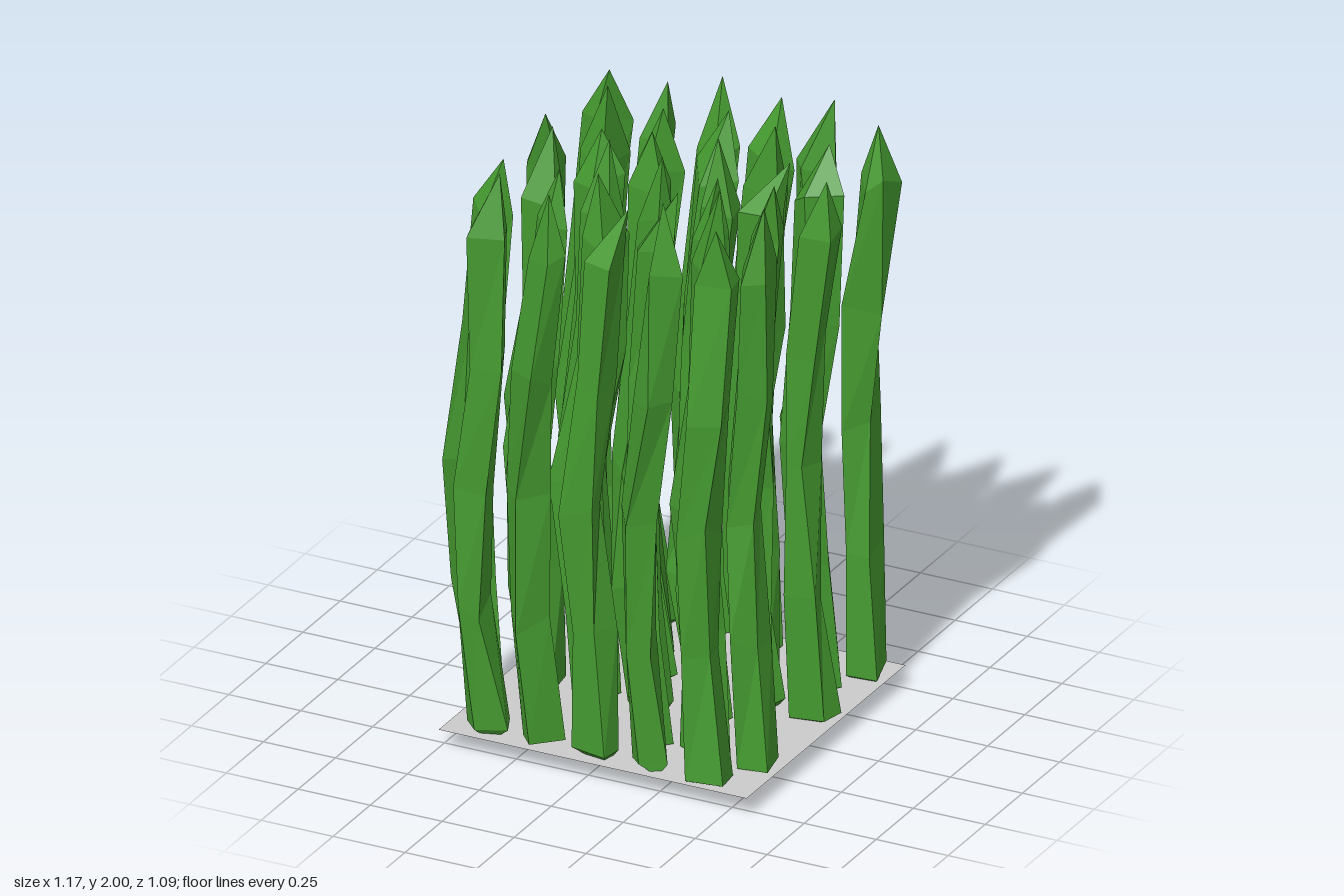
import * as THREE from 'three';

// Small seeded generator, values between -1 and 1
function makeJitter(seed) {
  let s = seed;
  return () => {
    s = (s * 16807) % 2147483647;
    return (s / 2147483647) * 2 - 1;
  };
}

const SIDES = 4;
// Shared bend of all blades: height and sideways shift of each ring
const LEVELS = [
  { y: 0.08, shift: 0.01 },
  { y: 0.48, shift: -0.03 },
  { y: 0.91, shift: -0.04 },
  { y: 1.33, shift: 0.0 },
  { y: 1.75, shift: 0.03 },
];

// One crooked blade: irregular rings, a pointed tip and a blunt root
function bladeGeometry(x, z, jitter) {
  const pos = [];
  const index = [];
  const turn = jitter() * Math.PI;
  LEVELS.forEach(({ y, shift }, level) => {
    const sway = level === 0 ? 0.3 : 1;
    const cx = x + shift + jitter() * 0.018 * sway;
    const cz = z + jitter() * 0.018 * sway;
    for (let i = 0; i < SIDES; i++) {
      const a = turn + ((i + jitter() * 0.25) / SIDES) * Math.PI * 2;
      const r = 1 + jitter() * 0.25;
      const lift = jitter() * (level === 0 ? 0.012 : 0.035);
      pos.push(cx + Math.cos(a) * 0.072 * r, y + lift, cz - Math.sin(a) * 0.068 * r);
    }
  });
  const top = (LEVELS.length - 1) * SIDES;
  const tip = pos.length / 3;
  const root = tip + 1;
  pos.push(x + 0.06 + jitter() * 0.035, 1.955 + jitter() * 0.045, z + jitter() * 0.045);
  pos.push(x + 0.01 + jitter() * 0.03, 0.035 + jitter() * 0.035, z + jitter() * 0.03);

  for (let i = 0; i < SIDES; i++) {
    const j = (i + 1) % SIDES;
    for (let k = 0; k < top; k += SIDES) {
      index.push(k + i, k + j, k + SIDES + j, k + i, k + SIDES + j, k + SIDES + i);
    }
    index.push(top + i, top + j, tip);
    index.push(j, i, root);
  }
  const geo = new THREE.BufferGeometry();
  geo.setAttribute('position', new THREE.Float32BufferAttribute(pos, 3));
  geo.setIndex(index);
  const flat = geo.toNonIndexed();
  flat.computeVertexNormals();
  return flat;
}

export function createModel() {
  const group = new THREE.Group();
  group.name = 'grassPatch';
  const green = new THREE.MeshStandardMaterial({ color: 0x459a30, flatShading: true });
  const grey = new THREE.MeshStandardMaterial({ color: 0xcccccc, side: THREE.DoubleSide });

  // Thin square of ground
  const ground = new THREE.Mesh(new THREE.PlaneGeometry(1.07, 1.07), grey);
  ground.name = 'groundSheet';
  ground.rotation.x = -Math.PI / 2;
  ground.position.set(0.035, 0.065, 0.005);
  group.add(ground);

  // Staggered rows, alternately six and five blades
  const jitter = makeJitter(4271);
  [-0.44, -0.26, -0.07, 0.11, 0.305, 0.47].forEach((z, row) => {
    const odd = row % 2;
    const blades = new THREE.Group();
    blades.name = `grassRow${row + 1}`;
    for (let i = 0; i < 6 - odd; i++) {
      const x = (odd ? -0.37 : -0.465) + i * 0.19;
      const blade = new THREE.Mesh(bladeGeometry(x, z, jitter), green);
      blade.name = 'grassBlade';
      blades.add(blade);
    }
    group.add(blades);
  });
  return group;
}
